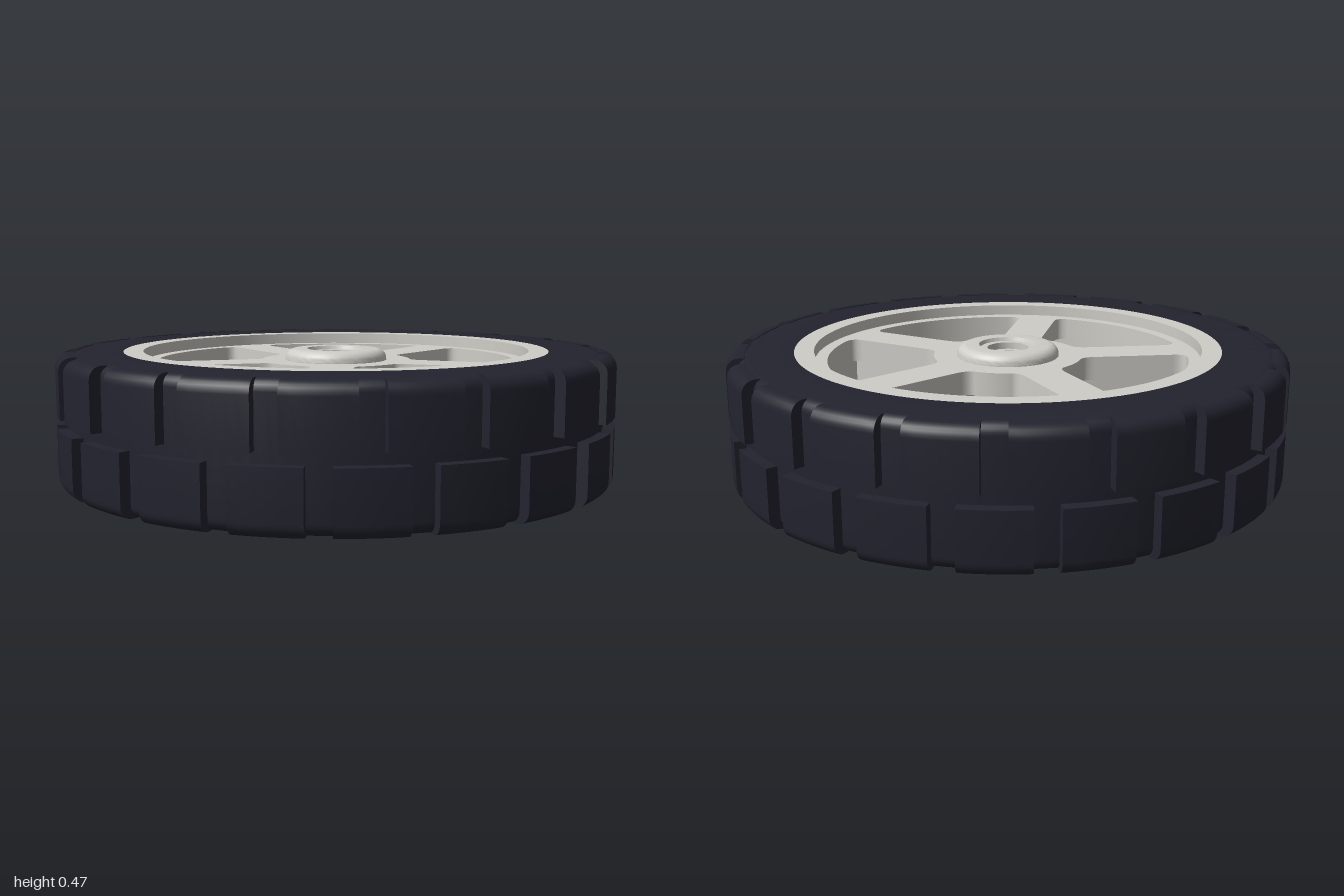
import * as THREE from 'three';
import { toCreasedNormals, mergeGeometries } from 'three/addons/utils/BufferGeometryUtils.js';

const H = 0.465;          // overall height
const DISC_TOP = 0.425;   // spoke face
const DISC_BOTTOM = 0.34;

const rubber = new THREE.MeshStandardMaterial({ color: 0x22232e, side: THREE.DoubleSide });
rubber.name = 'darkRubber';
const plastic = new THREE.MeshStandardMaterial({ color: 0xcfcdc7 });
plastic.name = 'lightGreyPlastic';

function add(parent, name, geometry, material) {
  const mesh = new THREE.Mesh(geometry, material);
  mesh.name = name;
  parent.add(mesh);
  return mesh;
}

// Quarter-circle profile points around a corner centre
function arc(cx, cy, r, from, to, steps = 6) {
  return Array.from({ length: steps + 1 }, (_, i) => {
    const a = from + (to - from) * i / steps;
    return [cx + r * Math.cos(a), cy + r * Math.sin(a)];
  });
}

function lathe(profile, segments = 96, start = 0, length = Math.PI * 2) {
  const points = profile.map(([x, y]) => new THREE.Vector2(x, y));
  return toCreasedNormals(new THREE.LatheGeometry(points, segments, start, length), 0.5);
}

// Extrude a flat plan shape upward from y0 to y1
function slab(shape, y0, y1) {
  const g = new THREE.ExtrudeGeometry(shape, { depth: y1 - y0, bevelEnabled: false, curveSegments: 40 });
  return g.rotateX(-Math.PI / 2).translate(0, y0, 0);
}

// One tread block: a solid sector with closed ends
function sector(profile, width) {
  const start = -width / 2;
  const parts = [lathe([...profile, profile[0]], 6, start, width)];
  const section = new THREE.Shape(profile.map(([x, y]) => new THREE.Vector2(x, y)));
  for (const a of [start, -start]) {
    parts.push(new THREE.ShapeGeometry(section).rotateY(a - Math.PI / 2).toNonIndexed());
  }
  return mergeGeometries(parts);
}

// Rounded window between two neighbouring spokes
function windowPath(turn) {
  const rIn = 0.27, rOut = 0.65, half = 0.075, cut = 0.05;
  const step = Math.PI * 2 / 5;
  const aIn = Math.asin(half / rIn), aOut = Math.asin(half / rOut);
  const at = (r, a) => [r * Math.cos(a + turn), r * Math.sin(a + turn)];
  // Point along a spoke edge, mirrored for the far spoke
  const edge = (x, far) => {
    const a = Math.atan2(half, x);
    return at(Math.hypot(x, half), far ? step - a : a);
  };
  const xIn = rIn * Math.cos(aIn) + cut, xOut = rOut * Math.cos(aOut) - cut;
  const dOut = cut / rOut, dIn = 0.03 / rIn;
  const p = new THREE.Path();
  p.moveTo(...edge(xIn, false));
  p.lineTo(...edge(xOut, false));
  p.quadraticCurveTo(...at(rOut, aOut), ...at(rOut, aOut + dOut));
  p.absarc(0, 0, rOut, turn + aOut + dOut, turn + step - aOut - dOut, false);
  p.quadraticCurveTo(...at(rOut, step - aOut), ...edge(xOut, true));
  p.lineTo(...edge(xIn, true));
  p.quadraticCurveTo(...at(rIn, step - aIn), ...at(rIn, step - aIn - dIn));
  p.absarc(0, 0, rIn, turn + step - aIn - dIn, turn + aIn + dIn, true);
  p.quadraticCurveTo(...at(rIn, aIn), ...edge(xIn, false));
  return p;
}

function createTire() {
  const tire = new THREE.Group();
  tire.name = 'tire';
  const r = 0.04;
  add(tire, 'tireBody', lathe([
    [0.73, 0],
    ...arc(0.92, r, r, -Math.PI / 2, 0),
    ...arc(0.92, H - r, r, 0, Math.PI / 2),
    [0.765, H], [0.765, 0.43], [0.73, 0.43], [0.73, 0],
  ], 120), rubber);

  // Two staggered rows of tread blocks
  const count = 20, step = Math.PI * 2 / count;
  const lower = sector([
    [0.935, 0], ...arc(0.955, 0.045, 0.045, -Math.PI / 2, 0), [1, 0.215], [0.935, 0.215],
  ], step - 0.083);
  const upper = sector([
    [0.935, 0.252], [1, 0.252], ...arc(0.955, H - 0.045, 0.045, 0, Math.PI / 2), [0.935, H],
  ], step - 0.083);
  for (let i = 0; i < count; i++) {
    add(tire, 'upperTreadBlock', upper, rubber).rotation.y = i * step;
    add(tire, 'lowerTreadBlock', lower, rubber).rotation.y = (i + 0.5) * step;
  }
  return tire;
}

function createRim() {
  const rim = new THREE.Group();
  rim.name = 'rim';
  add(rim, 'rimBarrel', lathe([
    [0.667, 0], [0.73, 0], [0.73, 0.43], [0.765, 0.43], [0.765, H],
    [0.695, H], [0.695, 0.4], [0.667, 0.4], [0.667, 0],
  ]), plastic);

  // Disc with five windows, leaving five spokes
  const disc = new THREE.Shape().absarc(0, 0, 0.697, 0, Math.PI * 2, false);
  for (let i = 0; i < 5; i++) disc.holes.push(windowPath(i * Math.PI * 2 / 5));
  disc.holes.push(new THREE.Path().absarc(0, 0, 0.15, 0, Math.PI * 2, true));
  add(rim, 'spokeDisc', slab(disc, DISC_BOTTOM, DISC_TOP), plastic);

  // Stiffening rib under each spoke
  const ribBottom = 0.125, ribTop = DISC_BOTTOM + 0.01;
  const rib = new THREE.BoxGeometry(0.51, ribTop - ribBottom, 0.05)
    .translate(0.42, (ribTop + ribBottom) / 2, 0);
  for (let i = 0; i < 5; i++) {
    add(rim, 'spokeRib', rib, plastic).rotation.y = i * Math.PI * 2 / 5;
  }
  return rim;
}

function createHub() {
  const hub = new THREE.Group();
  hub.name = 'hub';
  // Barrel with a D-shaped bore, flat toward +x
  const barrel = new THREE.Shape().absarc(0, 0, 0.184, 0, Math.PI * 2, false);
  const flat = Math.acos(0.035 / 0.056);
  const bore = new THREE.Path().absarc(0, 0, 0.056, flat, Math.PI * 2 - flat, false);
  bore.closePath();
  barrel.holes.push(bore);
  add(hub, 'hubBarrel', slab(barrel, 0, 0.428), plastic);

  // Rounded cap with a stepped recess
  add(hub, 'hubCap', lathe([
    [0.184, 0.415], ...arc(0.149, H - 0.035, 0.035, 0, Math.PI / 2),
    [0.105, H], [0.1, 0.452], [0.075, 0.452], [0.075, 0.42],
  ], 64), plastic);
  return hub;
}

export function createModel() {
  const wheel = new THREE.Group();
  wheel.name = 'wheel';
  wheel.add(createTire(), createRim(), createHub());
  return wheel;
}
